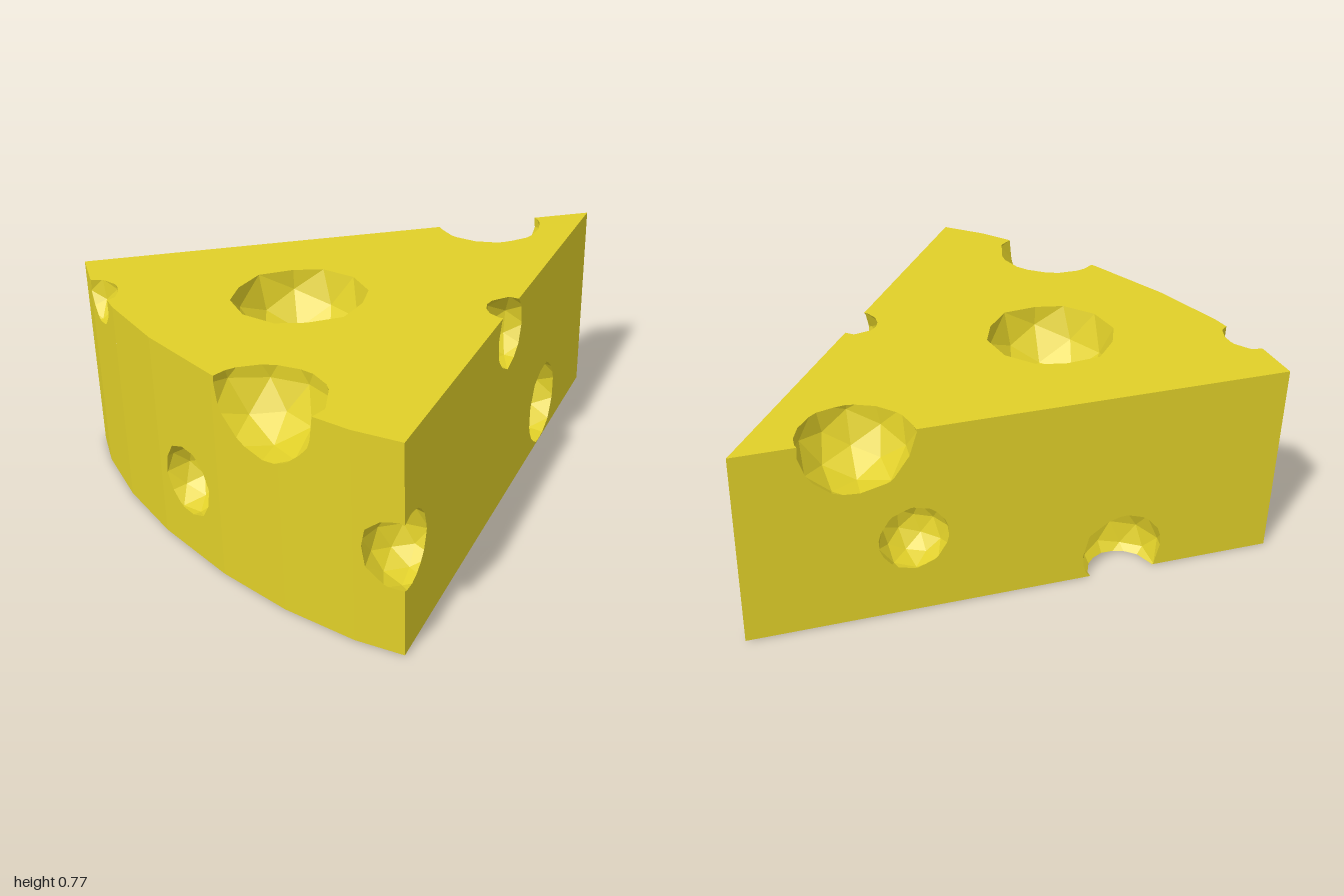
import * as THREE from 'three';

const HEIGHT = 0.77;
const V = (x, y, z) => new THREE.Vector3(x, y, z);

// Wedge outline seen from above [x, z]: pointed tip and faceted rind
const half = [[-0.826, 0.914], [-0.896, 0.75], [-0.965, 0.476], [-1, 0.18]];
const outline = [[1, 0], ...half.map(([x, z]) => [x, -z]), ...half.slice().reverse()];

// Round holes: x, y, z, radius (none of them overlap)
const holes = {
  topHole: [-0.41, 0.77, -0.12, 0.249],
  tipHole: [0.605, 0.75, -0.175, 0.212],
  rindTopHole: [-0.97, 0.76, 0.405, 0.224],
  rindSmallHole: [-0.97, 0.75, -0.652, 0.123],
  rindMiddleHole: [-1, 0.285, -0.01, 0.133],
  frontTopHole: [0.075, 0.674, 0.463, 0.137],
  frontLowHole: [0.49, 0.162, 0.255, 0.169],
  cornerHole: [-0.79, 0.365, 0.87, 0.138],
  backMiddleHole: [0.44, 0.32, -0.28, 0.135],
  backLowHole: [-0.284, 0.095, -0.642, 0.164],
};

const planeOf = (p) => new THREE.Plane().setFromCoplanarPoints(p[0], p[1], p[2]);

// Part of a convex polygon on one side of a plane (sign 1 = outside, -1 = inside)
function clip(poly, plane, sign) {
  const out = [];
  poly.forEach((a, i) => {
    const b = poly[(i + 1) % poly.length];
    const da = sign * plane.distanceToPoint(a);
    const db = sign * plane.distanceToPoint(b);
    if (da >= 0) out.push(a);
    if (da * db < 0) out.push(a.clone().lerp(b, da / (da - db)));
  });
  return out.length > 2 ? out : null;
}

// Pieces of a polygon that lie outside a convex solid
function subtract(poly, planes) {
  const kept = [];
  let rest = poly;
  for (const plane of planes) {
    const outer = clip(rest, plane, 1);
    if (outer) kept.push(outer);
    rest = clip(rest, plane, -1);
    if (!rest) return kept;
  }
  return kept.length && rest ? kept : [];
}

// The piece of a polygon that lies inside a convex solid
function intersect(poly, planes) {
  let rest = poly;
  for (const plane of planes) {
    rest = clip(rest, plane, -1);
    if (!rest) return [];
  }
  return [rest];
}

// Faceted ball as a list of triangles
function ballFaces([x, y, z, r], turn) {
  const geo = new THREE.IcosahedronGeometry(r, 1).rotateX(turn).rotateY(turn * 1.7).translate(x, y, z);
  const pos = geo.attributes.position;
  const faces = [];
  for (let i = 0; i < pos.count; i += 3) {
    faces.push([0, 1, 2].map((k) => V().fromBufferAttribute(pos, i + k)));
  }
  return faces;
}

function meshOf(name, polys, material) {
  const points = [];
  for (const p of polys) {
    for (let i = 1; i < p.length - 1; i++) points.push(p[0], p[i], p[i + 1]);
  }
  const geo = new THREE.BufferGeometry().setFromPoints(points);
  geo.computeVertexNormals();
  const mesh = new THREE.Mesh(geo, material);
  mesh.name = name;
  return mesh;
}

export function createModel() {
  const group = new THREE.Group();
  group.name = 'cheeseWedge';
  const cheese = new THREE.MeshStandardMaterial({ color: 0xe0cf28, flatShading: true });

  // Solid wedge faces, all wound outwards
  const top = outline.map(([x, z]) => V(x, HEIGHT, z));
  const bottom = outline.map(([x, z]) => V(x, 0, z)).reverse();
  const sides = outline.map(([x, z], i) => {
    const [u, w] = outline[(i + 1) % outline.length];
    return [V(x, 0, z), V(u, 0, w), V(u, HEIGHT, w), V(x, HEIGHT, z)];
  });
  const wedgePlanes = [top, bottom, ...sides].map(planeOf);
  let parts = {
    topFace: [top],
    bottomFace: [bottom],
    cutSides: [sides[0], sides[sides.length - 1]],
    rind: sides.slice(1, -1),
  };

  // Carve each hole: open the wedge faces and line the hollow
  Object.entries(holes).forEach(([name, hole], i) => {
    const faces = ballFaces(hole, i * 0.6);
    const ballPlanes = faces.map(planeOf);
    const box = new THREE.Sphere(V(hole[0], hole[1], hole[2]), hole[3]);
    for (const key in parts) {
      parts[key] = parts[key].flatMap((poly) => {
        const near = new THREE.Box3().setFromPoints(poly).intersectsSphere(box);
        // leave a piece whole when the ball misses it
        return near && intersect(poly, ballPlanes).length ? subtract(poly, ballPlanes) : [poly];
      });
    }
    const lining = faces.flatMap((f) => intersect(f, wedgePlanes)).map((p) => p.reverse());
    group.add(meshOf(name, lining, cheese));
  });

  for (const key in parts) group.add(meshOf(key, parts[key], cheese));
  return group;
}
